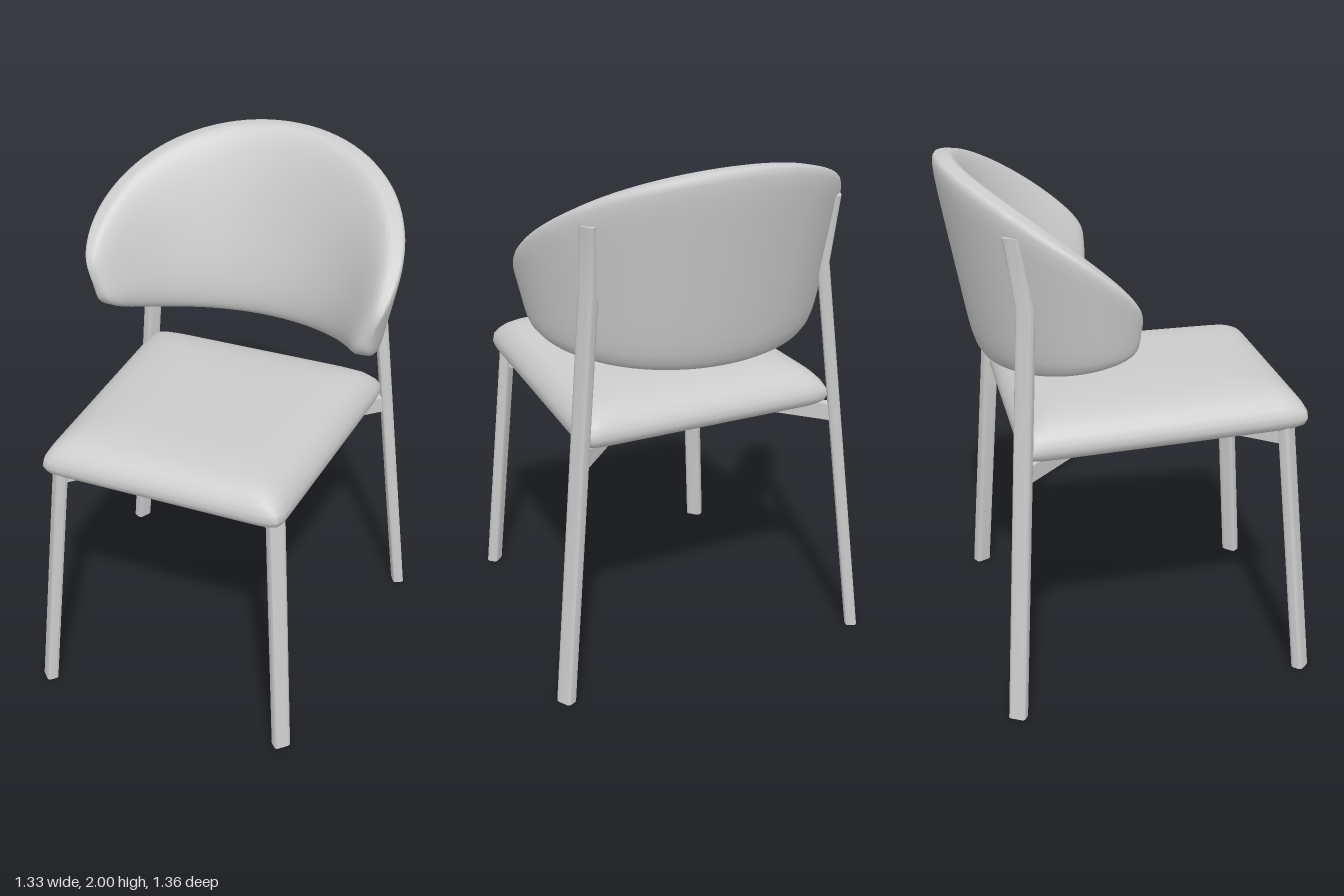
import * as THREE from 'three';
import { toCreasedNormals } from 'three/addons/utils/BufferGeometryUtils.js';

const material = new THREE.MeshStandardMaterial({ color: 0xcccccc, roughness: 0.8 });

// Point on a rounded square of half-size 1; larger n gives tighter corners
function squircle(angle, n) {
  const u = Math.sin(angle), v = Math.cos(angle);
  const r = (Math.abs(u) ** n + Math.abs(v) ** n) ** (-1 / n);
  return [u * r, v * r];
}

// Skin a list of rings (arrays of Vector3) and close both ends
function loft(rings, crease) {
  const count = rings[0].length, positions = [], index = [];
  rings.forEach(ring => ring.forEach(p => positions.push(p.x, p.y, p.z)));
  for (let i = 0; i < rings.length - 1; i++) {
    for (let j = 0; j < count; j++) {
      const k = (j + 1) % count;
      const a = i * count + j, b = i * count + k;
      index.push(a, b, a + count, b, b + count, a + count);
    }
  }
  [0, rings.length - 1].forEach((row, end) => {
    const centre = new THREE.Vector3();
    rings[row].forEach(p => centre.addScaledVector(p, 1 / count));
    const c = positions.length / 3;
    positions.push(centre.x, centre.y, centre.z);
    for (let j = 0; j < count; j++) {
      const a = row * count + j, b = row * count + (j + 1) % count;
      if (end) index.push(c, a, b);
      else index.push(c, b, a);
    }
  });
  const geometry = new THREE.BufferGeometry();
  geometry.setAttribute('position', new THREE.Float32BufferAttribute(positions, 3));
  geometry.setIndex(index);
  return toCreasedNormals(geometry, crease);
}

function makeMesh(name, geometry) {
  const mesh = new THREE.Mesh(geometry, material);
  mesh.name = name;
  return mesh;
}

// Cushion: rounded outline stacked along a soft profile, tilted down to the rear
function makeSeat() {
  const profile = [ // inset, height, corner sharpness
    [0.06, 1.005, 18], [0.025, 1.008, 22], [0.008, 1.022, 26], [0, 1.045, 28],
    [0.004, 1.07, 28], [0.018, 1.095, 24], [0.04, 1.12, 20], [0.07, 1.14, 16],
    [0.11, 1.154, 12], [0.16, 1.163, 10], [0.22, 1.169, 8], [0.32, 1.171, 7]
  ];
  const rings = profile.map(([inset, y, n]) => {
    const ring = [];
    for (let j = 0; j < 160; j++) {
      const [u, v] = squircle((j / 160) * Math.PI * 2, n);
      const z = 0.1 + v * (0.55 - inset);
      const halfWidth = 0.505 - 0.043 * z - inset;
      ring.push(new THREE.Vector3(u * halfWidth, y - 0.033 * (0.6 - z), z));
    }
    return ring;
  });
  return makeMesh('seat', loft(rings, 0.8));
}

// Wraparound padded shell: leaning cone, thicker low down, with rounded ends
function makeBackrest() {
  const rings = [], steps = 80, reach = THREE.MathUtils.degToRad(93);
  for (let i = 0; i <= steps; i++) {
    const s = Math.sin((i / steps - 0.5) * Math.PI) * 0.99999;
    const a = s * reach, c = Math.cos(a);
    const top = 1.65 + 0.35 * c, bottom = 1.315 - 0.07 * c;
    const endRound = (1 - Math.abs(s) ** 4.5) ** (1 / 4);
    const taper = (1 - Math.abs(s) ** 4) ** (1 / 2.5);
    const ring = [];
    for (let j = 0; j < 64; j++) {
      const angle = (j / 64) * Math.PI * 2;
      // crisp on the back, pillowy on the inside
      const [u, v] = squircle(angle, Math.sin(angle) < 0 ? 7 : 2.5);
      const y = (top + bottom) / 2 + v * endRound * (top - bottom) / 2;
      const thick = 0.165 - 0.035 * v;
      const depth = thick * (0.35 * (1 - taper) + taper * (1 + u) / 2);
      const radiusX = 0.645 + 0.18 * (y - 1.6), radiusZ = 0.643 + 0.19 * (y - 2);
      ring.push(new THREE.Vector3(
        (radiusX - depth) * Math.sin(a), y, -0.05 - (radiusZ - depth) * c));
    }
    rings.push(ring);
  }
  return makeMesh('backrest', loft(rings, 0.9));
}

// Leg: softened rectangular section carried through a few points
function makeLeg(name, points, yaw, side) {
  const turn = new THREE.Vector3(0, 1, 0);
  const rings = points.map(([x, y, z]) => {
    const ring = [];
    for (let j = 0; j < 48; j++) {
      const [u, v] = squircle((j / 48) * Math.PI * 2, 5);
      ring.push(new THREE.Vector3(u * 0.0235, 0, v * 0.033)
        .applyAxisAngle(turn, yaw * side)
        .add(new THREE.Vector3(x * side, y, z)));
    }
    return ring;
  });
  return makeMesh(name, loft(rings, 1.1));
}

// Straight rail between two plan positions, following the seat tilt
function makeRail(name, [x1, z1], [x2, z2]) {
  const from = new THREE.Vector3(x1, 0.957 + 0.033 * z1, z1);
  const to = new THREE.Vector3(x2, 0.957 + 0.033 * z2, z2);
  const rail = makeMesh(name, new THREE.BoxGeometry(0.04, 0.065, from.distanceTo(to) + 0.02));
  rail.position.copy(from).lerp(to, 0.5);
  rail.lookAt(to);
  return rail;
}

export function createModel() {
  const chair = new THREE.Group();
  chair.name = 'chair';
  chair.add(makeSeat(), makeBackrest());

  const frame = new THREE.Group();
  frame.name = 'underSeatFrame';
  const front = [0.3, 0.42], rear = [0.29, -0.21];
  frame.add(
    makeRail('frontRail', [-front[0], front[1]], front),
    makeRail('rearRail', [-rear[0], rear[1]], rear));

  for (const side of [1, -1]) {
    const label = side > 0 ? 'Left' : 'Right';
    const flip = ([x, z]) => [x * side, z];
    // Legs splay outward; the rear pair runs up and bends to hold the backrest
    chair.add(
      makeLeg('front' + label + 'Leg',
        [[0.505, 0, 0.645], [0.43, 1.03, 0.565]], -Math.PI / 4, side),
      makeLeg('rear' + label + 'Leg',
        [[0.633, 0, -0.502], [0.475, 1.55, -0.415], [0.485, 1.81, -0.456]], 0.49, side));
    frame.add(
      makeRail('side' + label + 'Rail', flip(rear), flip(front)),
      makeRail('front' + label + 'Strut', flip(front), flip([0.43, 0.565])),
      makeRail('rear' + label + 'Strut', flip(rear), flip([0.525, -0.44])));
  }
  chair.add(frame);
  return chair;
}
